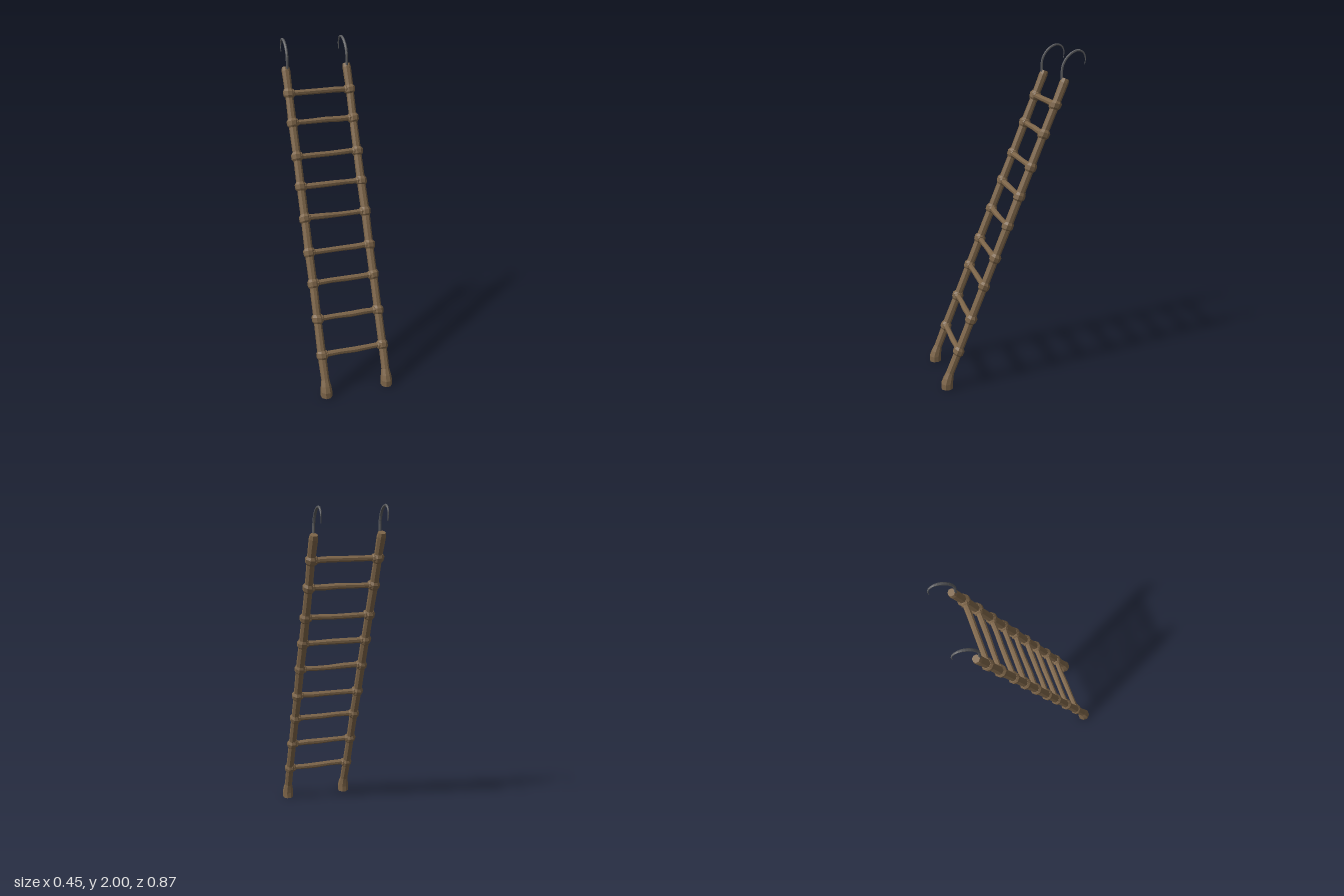
import * as THREE from 'three';

// Small seeded jitter in -1..1 for a hand-hewn look
let seed = 7;
function jitter() {
  seed = (seed * 16807) % 2147483647;
  return (seed / 2147483647) * 2 - 1;
}

// Skins rings along stations { p: centre, t: direction, ru, rv: radii }
function loft(stations, sides, ref) {
  const pos = [], idx = [], n = stations.length;
  for (const { p, t, ru, rv = ru } of stations) {
    const dir = t.clone().normalize();
    const u = ref.clone().addScaledVector(dir, -ref.dot(dir)).normalize();
    const v = dir.clone().cross(u);
    for (let i = 0; i < sides; i++) {
      const a = ((i + 0.5) / sides) * Math.PI * 2;
      const q = p.clone().addScaledVector(u, ru * Math.cos(a)).addScaledVector(v, rv * Math.sin(a));
      pos.push(q.x, q.y, q.z);
    }
  }
  for (const s of [stations[0], stations[n - 1]]) pos.push(s.p.x, s.p.y, s.p.z);
  for (let i = 0; i < sides; i++) {
    const j = (i + 1) % sides, e = (n - 1) * sides;
    for (let k = 0; k < n - 1; k++) {
      const a = k * sides, b = a + sides;
      idx.push(a + i, a + j, b + j, a + i, b + j, b + i);
    }
    idx.push(n * sides, j, i, n * sides + 1, e + i, e + j);
  }
  const g = new THREE.BufferGeometry();
  g.setAttribute('position', new THREE.Float32BufferAttribute(pos, 3));
  g.setIndex(idx);
  const flat = g.toNonIndexed();
  flat.computeVertexNormals();
  return flat;
}

const V = (x, y, z) => new THREE.Vector3(x, y, z);
const X = V(1, 0, 0), Y = V(0, 1, 0), Z = V(0, 0, 1);
const RAIL_X = 0.193;
const railZ = (y) => 0.42 - 0.399 * y;
const LEAN = V(0, 1, -0.399).normalize();
const RUNG_Y = [0.236, 0.435, 0.633, 0.805, 0.995, 1.17, 1.338, 1.526, 1.69];

export function createModel() {
  const model = new THREE.Group();
  model.name = 'ladder';
  const wood = new THREE.MeshStandardMaterial({ color: 0x7d6549, flatShading: true });
  wood.name = 'brown wood';
  const iron = new THREE.MeshStandardMaterial({ color: 0x5a5b5e, flatShading: true });
  iron.name = 'dark iron';

  const add = (name, geometry, material) => {
    const mesh = new THREE.Mesh(geometry, material);
    mesh.name = name;
    model.add(mesh);
  };

  for (const side of [-1, 1]) {
    const label = side > 0 ? 'left' : 'right';
    const x = side * RAIL_X;

    // Leaning rail with a swollen, flat-bottomed foot
    const rail = [
      { p: V(x, 0, 0.4), t: Y, ru: 0.034, rv: 0.037 },
      { p: V(x, 0.035, 0.4), t: Y, ru: 0.035, rv: 0.036 },
      { p: V(x, 0.065, 0.392), t: V(0, 1, -0.2), ru: 0.031 },
      { p: V(x, 0.1, railZ(0.1)), t: LEAN, ru: 0.024 },
    ];
    for (const y of RUNG_Y) {
      rail.push({ p: V(x + jitter() * 0.002, y, railZ(y)), t: LEAN, ru: 0.0245 + jitter() * 0.0015 });
    }
    rail.push({ p: V(x, 1.815, railZ(1.815)), t: LEAN, ru: 0.026 });
    rail.push({ p: V(x, 1.837, railZ(1.837)), t: LEAN, ru: 0.022 });
    add(label + 'Rail', loft(rail, 8, X), wood);

    // Knobbly joint around the rail and a short socket for each rung
    for (const y of RUNG_Y) {
      const c = V(x, y, railZ(y)), tilt = LEAN.clone().add(V(jitter() * 0.12, 0, jitter() * 0.12));
      const ring = [[-0.027, 0.025], [-0.016, 0.033], [0.01, 0.035], [0.026, 0.025]].map(([d, r]) => ({
        p: c.clone().addScaledVector(LEAN, d), t: tilt, ru: r + jitter() * 0.001,
      }));
      add(label + 'Joint', loft(ring, 8, X), wood);
      const inward = V(-side, 0, 0);
      const socket = [[0.01, 0.025], [0.029, 0.025], [0.035, 0.018]].map(([d, r]) => ({
        p: c.clone().addScaledVector(inward, d), t: inward, ru: r,
      }));
      add(label + 'Socket', loft(socket, 8, Z), wood);
    }

    // Tapering hook curling over to the back
    const curve = new THREE.CatmullRomCurve3([
      [1.815, -0.29], [1.85, -0.292], [1.9, -0.294], [1.947, -0.316], [1.98, -0.352],
      [1.992, -0.39], [1.975, -0.421], [1.945, -0.431], [1.91, -0.427],
    ].map(([y, z], i) => V(side * (0.189 - i * 0.0005), y, z)));
    const hook = [];
    for (let i = 0; i <= 20; i++) {
      const k = i / 20, r = 0.0085 * (1 - 0.75 * Math.max(0, k - 0.6) / 0.4);
      hook.push({ p: curve.getPointAt(k), t: curve.getTangentAt(k), ru: r, rv: r * 0.85 });
    }
    add(label + 'Hook', loft(hook, 6, X), iron);
  }

  // Slightly uneven rungs
  for (const y of RUNG_Y) {
    const stations = [-0.185, -0.08, 0.02, 0.1, 0.185].map((x) => ({
      p: V(x, y + jitter() * 0.003, railZ(y) + jitter() * 0.002), t: X, ru: 0.0165 + jitter() * 0.0015,
    }));
    add('rung', loft(stations, 8, Z), wood);
  }
  return model;
}
